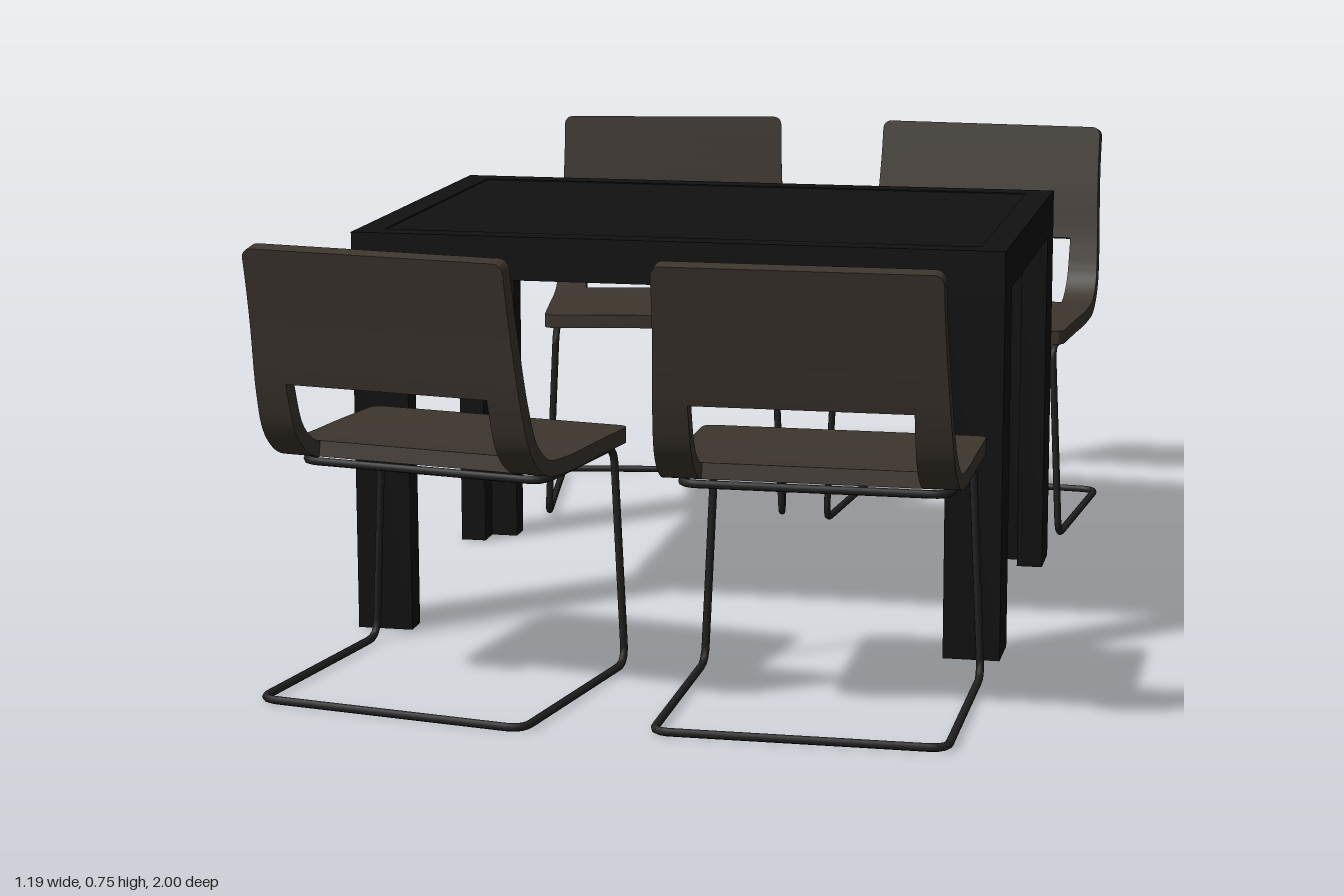
import * as THREE from 'three';
import { toCreasedNormals } from 'three/addons/utils/BufferGeometryUtils.js';

const black = new THREE.MeshStandardMaterial({ color: 0x111111 });
const brown = new THREE.MeshStandardMaterial({ color: 0x3d362f });
const steel = new THREE.MeshStandardMaterial({ color: 0x222222 });

function add(parent, name, geometry, material) {
  const mesh = new THREE.Mesh(geometry, material);
  mesh.name = name;
  parent.add(mesh);
  return mesh;
}

// ---- Table: boards of one thickness, L-section legs, inset top panel ----
function createTable() {
  const table = new THREE.Group();
  table.name = 'table';
  const hx = 0.564, hz = 0.38, top = 0.7, apron = 0.075, board = 0.047, leg = 0.097;

  const rect = (P, x, y) => {
    const p = new P();
    p.moveTo(-x, -y).lineTo(x, -y).lineTo(x, y).lineTo(-x, y).closePath();
    return p;
  };
  const frame = rect(THREE.Shape, hx, hz);
  frame.holes.push(rect(THREE.Path, hx - board, hz - board));
  const frameGeo = new THREE.ExtrudeGeometry(frame, { depth: apron, bevelEnabled: false });
  frameGeo.rotateX(-Math.PI / 2).translate(0, top - apron, 0);
  add(table, 'tableFrame', frameGeo, black);

  const panel = new THREE.BoxGeometry(2 * (hx - board), 0.03, 2 * (hz - board));
  add(table, 'tablePanel', panel, black).position.y = top - 0.017;

  for (const sx of [-1, 1]) for (const sz of [-1, 1]) {
    const pts = [[0, 0], [leg, 0], [leg, board], [board, board], [board, leg], [0, leg]]
      .map(([x, z]) => new THREE.Vector2(sx * (hx - x), sz * (hz - z)));
    const geo = new THREE.ExtrudeGeometry(new THREE.Shape(pts), { depth: top - apron, bevelEnabled: false });
    geo.rotateX(-Math.PI / 2);
    add(table, 'tableLeg', geo, black);
  }
  table.position.set(-0.015, 0, 0.022);
  return table;
}

// ---- Chair shell: slabs bent along the side profile (z, y) ----
const profile = new THREE.CatmullRomCurve3(
  [[0, 0.398], [0.13, 0.398], [0.26, 0.398], [0.33, 0.408], [0.375, 0.445], [0.4, 0.51], [0.425, 0.63], [0.45, 0.752]]
    .map(([z, y]) => new THREE.Vector3(0, y, z)));
const THICK = 0.026, OPENING = 0.176;
const total = profile.getLength();

function findS(test) {
  let s = 0;
  while (s < 1 && !test(profile.getPointAt(s))) s += 0.002;
  return s;
}
const seatEnd = findS(p => p.z > 0.31);
const backStart = findS(p => p.y > 0.53);

// Half width, tapering up the back, with rounded corners at both ends
function halfWidth(s) {
  const r = 0.016;
  const d = Math.min(s, 1 - s) * total;
  const w = 0.237 - 0.012 * THREE.MathUtils.smoothstep(s, seatEnd, 0.95);
  return d >= r ? w : w - r * (1 - Math.sqrt(1 - (1 - d / r) ** 2));
}

// Slab over arc range s0..s1, from edge a(s) to edge b(s)
function bentSlab(s0, s1, a, b) {
  const n = 30;
  const geo = new THREE.BoxGeometry(1, 1, 1, 1, 1, n);
  const pos = geo.attributes.position;
  for (let i = 0; i < pos.count; i++) {
    const u = pos.getZ(i) + 0.5;
    // stations crowd toward the ends for the rounded corners
    const s = THREE.MathUtils.lerp(s0, s1, 0.5 - 0.5 * Math.cos(Math.PI * u));
    const p = profile.getPointAt(s), t = profile.getTangentAt(s);
    const h = pos.getY(i) * THICK;
    pos.setXYZ(i, THREE.MathUtils.lerp(a(s), b(s), pos.getX(i) + 0.5), p.y + t.z * h, p.z - t.y * h);
  }
  return toCreasedNormals(geo, 0.6);
}

const neg = s => -halfWidth(s);
const seatGeo = bentSlab(0, seatEnd, neg, halfWidth);
const backGeo = bentSlab(backStart, 1, neg, halfWidth);
const sideGeos = [
  bentSlab(seatEnd, backStart, neg, () => -OPENING),
  bentSlab(seatEnd, backStart, () => OPENING, halfWidth),
];

// ---- Chair frame: one closed bent tube with filleted corners ----
function filletLoop(points, r) {
  const path = new THREE.CurvePath();
  const n = points.length;
  const toward = (p, q) => p.clone().add(q.clone().sub(p).setLength(r));
  for (let i = 0; i < n; i++) {
    const prev = points[(i + n - 1) % n], p = points[i], next = points[(i + 1) % n];
    path.add(new THREE.QuadraticBezierCurve3(toward(p, prev), p, toward(p, next)));
    path.add(new THREE.LineCurve3(toward(p, next), toward(next, p)));
  }
  return path;
}
const halfFrame = [[0.215, 0.378, 0.3], [0.215, 0.378, 0.015], [0.233, 0.007, 0.015], [0.233, 0.007, 0.425]];
const loop = [
  ...halfFrame.map(([x, y, z]) => new THREE.Vector3(x, y, z)),
  ...halfFrame.map(([x, y, z]) => new THREE.Vector3(-x, y, z)).reverse(),
];
const frameGeo = new THREE.TubeGeometry(filletLoop(loop, 0.03), 240, 0.0068, 8, true);

function createChair(x, z, angle) {
  const chair = new THREE.Group();
  chair.name = 'chair';
  add(chair, 'seat', seatGeo, brown);
  add(chair, 'backrest', backGeo, brown);
  for (const g of sideGeos) add(chair, 'backSupport', g, brown);
  add(chair, 'chairFrame', frameGeo, steel);
  chair.position.set(x, 0, z);
  chair.rotation.y = angle;
  return chair;
}

export function createModel() {
  const model = new THREE.Group();
  model.name = 'diningSet';
  model.add(createTable());
  // front edge midpoint of each seat, and the turn of its back away from the table
  const places = [
    [0.299, 0.51, 0],
    [-0.291, 0.504, -0.175],
    [0.322, -0.504, Math.PI - 0.085],
    [-0.23, -0.51, Math.PI + 0.172],
  ];
  for (const [x, z, angle] of places) model.add(createChair(x, z, angle));
  return model;
}
